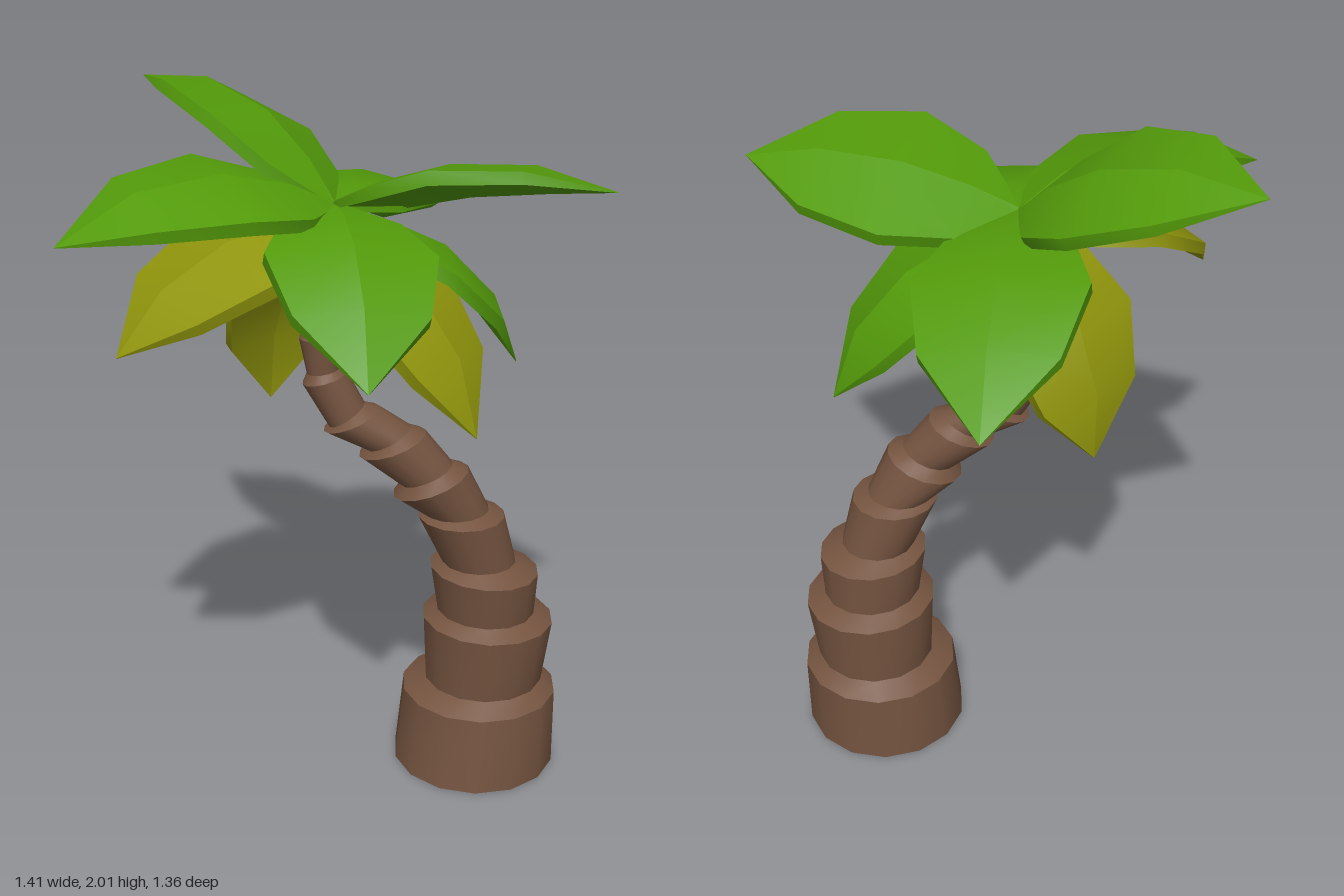
import * as THREE from 'three';

const barkMat = new THREE.MeshStandardMaterial({ name: 'brown bark', color: 0x755440, side: THREE.DoubleSide });
const greenMat = new THREE.MeshStandardMaterial({ name: 'green leaf', color: 0x539a0a, side: THREE.DoubleSide });
const oliveMat = new THREE.MeshStandardMaterial({ name: 'olive leaf', color: 0x8f940c, side: THREE.DoubleSide });

const SIDES = 14;

// Trunk rings, a bottom and a top per segment: x, y, z, radius, lean towards -x
const RINGS = [
  [0.397, 0, 0, 0.242, 0], [0.408, 0.23, -0.01, 0.23, 0],
  [0.42, 0.265, -0.01, 0.175, 0], [0.427, 0.467, -0.005, 0.193, -0.03],
  [0.42, 0.495, 0, 0.144, -0.03], [0.412, 0.633, 0.01, 0.159, -0.07],
  [0.395, 0.66, 0.015, 0.108, 0], [0.34, 0.81, 0.03, 0.125, 0],
  [0.325, 0.825, 0.03, 0.094, 0.05], [0.25, 0.92, 0.05, 0.114, 0.36],
  [0.237, 0.945, 0.05, 0.08, 0.4], [0.14, 1.035, 0.05, 0.1, 0.35],
  [0.13, 1.052, 0.05, 0.07, 0.5], [0.025, 1.108, 0.05, 0.085, 0.4],
  [0.012, 1.12, 0.05, 0.06, 0.6], [-0.05, 1.23, 0.05, 0.064, 0.27],
  [-0.055, 1.25, 0.05, 0.045, 0.15], [-0.07, 1.35, 0.055, 0.05, 0.05],
  [-0.07, 1.365, 0.055, 0.04, 0.05], [-0.08, 1.457, 0.055, 0.045, 0],
  [-0.08, 1.47, 0.055, 0.036, 0], [-0.085, 1.57, 0.055, 0.042, 0],
  [-0.083, 1.582, 0.055, 0.034, 0], [-0.06, 1.68, 0.05, 0.04, -0.2],
];

function ringPoint([x, y, z, r, lean], i) {
  const a = (i / SIDES) * Math.PI * 2;
  const u = Math.sin(a) * r;
  return [x + u * Math.cos(lean), y + u * Math.sin(lean), z + Math.cos(a) * r];
}

// Smooth indexed surface between rows of points
function surface(rows, closed) {
  const n = rows[0].length;
  const index = [];
  for (let j = 0; j < rows.length - 1; j++) {
    for (let i = 0; i < (closed ? n : n - 1); i++) {
      const k = (i + 1) % n;
      const a = j * n + i, b = j * n + k, c = a + n, d = b + n;
      index.push(a, b, d, a, d, c);
    }
  }
  const geo = new THREE.BufferGeometry();
  geo.setAttribute('position', new THREE.Float32BufferAttribute(rows.flat(2), 3));
  geo.setIndex(index);
  geo.computeVertexNormals();
  return geo;
}

// Trunk: flared segments joined by narrow ledges
function makeTrunk() {
  const trunk = new THREE.Group();
  trunk.name = 'trunk';
  const rows = RINGS.map((r) => Array.from({ length: SIDES }, (_, i) => ringPoint(r, i)));
  for (let j = 0; j < rows.length - 1; j++) {
    const mesh = new THREE.Mesh(surface([rows[j], rows[j + 1]], true), barkMat);
    mesh.name = j % 2 ? 'trunkLedge' : 'trunkSegment';
    trunk.add(mesh);
  }
  const [x, y, z, r, lean] = RINGS[RINGS.length - 1];
  const cap = new THREE.Mesh(new THREE.CircleGeometry(r, SIDES).rotateX(-Math.PI / 2).rotateZ(lean), barkMat);
  cap.position.set(x, y, z);
  cap.name = 'trunkTop';
  trunk.add(cap);
  return trunk;
}

// Leaf stations: position along the leaf, half width, arch height, drop of the edge, thickness
const STATIONS = [
  [0, 0.015, 0, 0.005, 0.02], [0.17, 0.158, 0.062, 0.03, 0.035], [0.42, 0.223, 0.113, 0.035, 0.037],
  [0.725, 0.172, 0.099, 0.03, 0.032], [1, 0.001, 0, 0, 0.002],
];
const LEAF_FACES = ['topLeft', 'topRight', 'rimRight', 'undersideRight', 'undersideLeft', 'rimLeft'];

// One thick arched leaf folded along its midrib; positive roll lifts its left edge
function makeLeaf(name, mat, base, tip, roll, bow = 1, width = 1) {
  const leaf = new THREE.Group();
  leaf.name = name;
  const start = new THREE.Vector3(...base);
  const along = new THREE.Vector3(...tip).sub(start);
  const dir = along.clone().normalize();
  const side = new THREE.Vector3(0, 1, 0).cross(dir).normalize().applyAxisAngle(dir, roll);
  const up = dir.clone().cross(side);
  // six-cornered cross-sections, running left to right over the top and back below
  const sections = STATIONS.map(([t, w, h, drop, thick]) => {
    const point = (across, rise) => start.clone().addScaledVector(along, t)
      .addScaledVector(side, across * width).addScaledVector(up, h * bow + rise).toArray();
    return [
      point(w, -drop), point(0, 0), point(-w, -drop),
      point(-w, -drop - thick), point(0, -thick), point(w, -drop - thick),
    ];
  });
  LEAF_FACES.forEach((face, i) => {
    const mesh = new THREE.Mesh(surface(sections.map((s) => [s[i], s[(i + 1) % 6]]), false), mat);
    mesh.name = face;
    leaf.add(mesh);
  });
  return leaf;
}

export function createModel() {
  const model = new THREE.Group();
  model.name = 'palmTree';
  model.add(makeTrunk());

  const crown = new THREE.Group();
  crown.name = 'crown';
  const top = [-0.02, 1.725, 0.05];
  const low = [-0.04, 1.68, 0.05];
  // Green upper leaves
  crown.add(
    makeLeaf('backLeaf', greenMat, top, [0.1, 1.49, -0.68], 0.06, 1, 1.02),
    makeLeaf('backRightLeaf', greenMat, top, [-0.585, 1.975, -0.4], 0.28, 0.97, 1.02),
    makeLeaf('frontRightLeaf', greenMat, top, [-0.705, 1.69, 0.39], -0.17, 1.15, 1.02),
    makeLeaf('frontLeaf', greenMat, top, [0.085, 1.42, 0.675], -0.08),
    makeLeaf('leftLeaf', greenMat, [-0.02, 1.73, 0.05], [0.7, 1.805, 0.235], -0.3, 0.75, 1.06),
    makeLeaf('lowerLeftLeaf', greenMat, [0, 1.7, 0.04], [0.487, 1.235, -0.085], 0, 1, 0.9),
  );
  // Olive drooping leaves
  crown.add(
    makeLeaf('droopingLeftLeaf', oliveMat, low, [0.363, 1.16, 0.31], 0, 1, 0.92),
    makeLeaf('droopingBackLeaf', oliveMat, low, [-0.22, 1.08, -0.18], 0.05, 1, 0.92),
    makeLeaf('droopingRightLeaf', oliveMat, low, [-0.57, 1.39, 0.36], -0.15, 1),
  );
  model.add(crown);
  return model;
}
